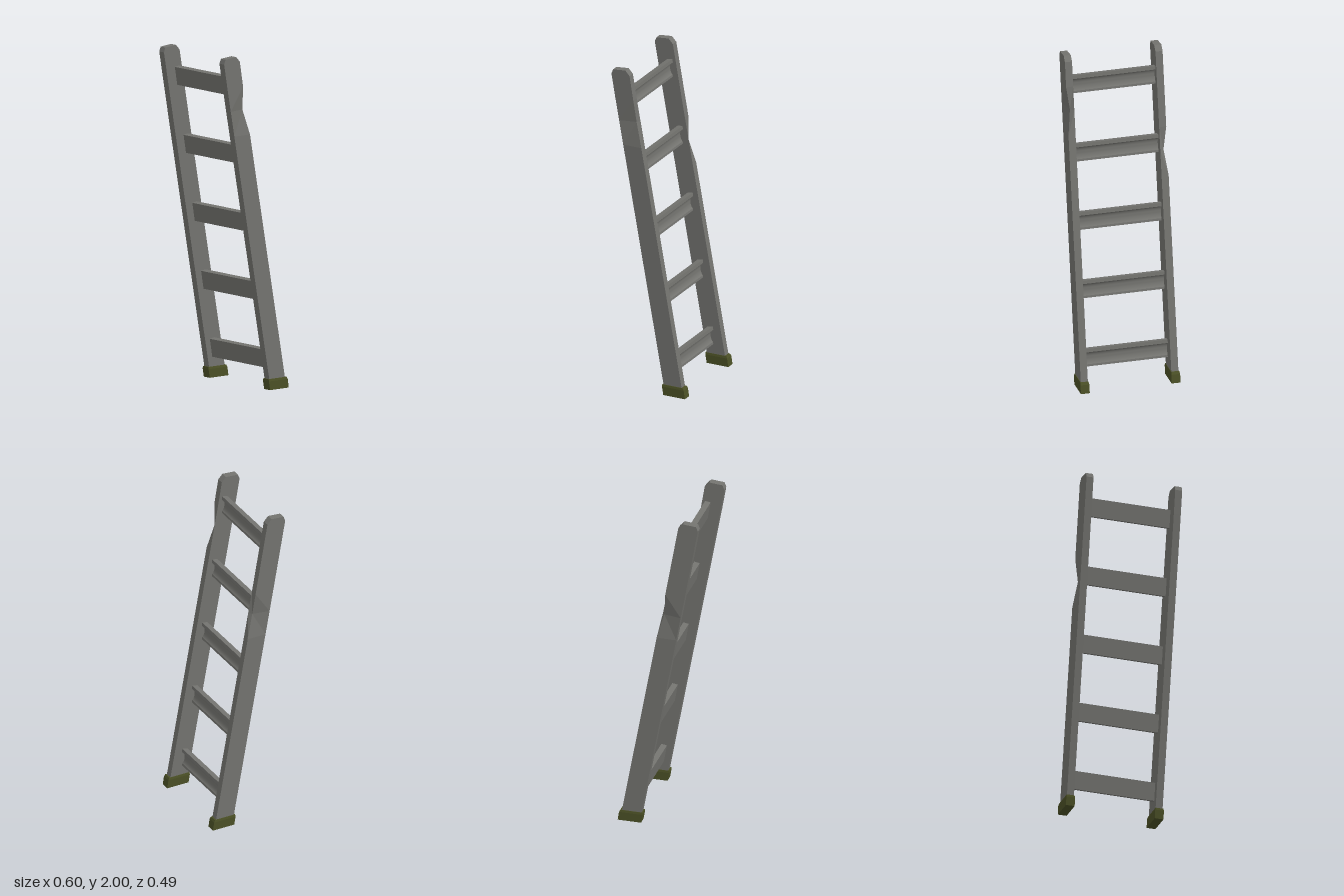
import * as THREE from 'three';
import { toCreasedNormals } from 'three/addons/utils/BufferGeometryUtils.js';

// Closed solid through four-cornered rings; corners run outer front, inner front, inner back, outer back
function loft(rings, side) {
  const pos = [];
  const tri = (a, b, c) => {
    for (const p of side > 0 ? [a, b, c] : [a, c, b]) pos.push(p[0] * side, p[1], p[2]);
  };
  for (let r = 0; r < rings.length - 1; r++) {
    const lo = rings[r], hi = rings[r + 1];
    for (let i = 0; i < 4; i++) {
      const j = (i + 1) % 4;
      tri(lo[j], lo[i], hi[i]);
      tri(lo[j], hi[i], hi[j]);
    }
  }
  const b = rings[0], t = rings[rings.length - 1];
  tri(b[0], b[1], b[2]);
  tri(b[0], b[2], b[3]);
  tri(t[3], t[2], t[1]);
  tri(t[3], t[1], t[0]);
  const geo = new THREE.BufferGeometry();
  geo.setAttribute('position', new THREE.Float32BufferAttribute(pos, 3));
  geo.computeVertexNormals();
  return geo;
}

const ring = (xi, xo, zf, yf, zb, yb) => [[xo, yf, zf], [xi, yf, zf], [xi, yb, zb], [xo, yb, zb]];

const SLOPE = 0.181;
const frontZ = (y) => -0.104 + SLOPE * (y - 0.04);
const backZ = (y) => -0.223 + SLOPE * (y - 0.04);

// Leaning rail with a rounded top and one dent in its outer back edge
function railGeometry(side, dentY) {
  const rows = [0.04, dentY - 0.15, dentY, dentY + 0.14].map((y, i) => {
    const r = ring(0.253, 0.296, frontZ(y), y, backZ(y), y);
    if (i === 2) {
      r[3][0] -= 0.02;
      r[3][2] += 0.014;
    }
    return r;
  });
  rows.push(ring(0.253, 0.296, 0.243, 1.965, 0.124, 1.97));
  rows.push(ring(0.253, 0.296, 0.232, 1.993, 0.152, 2.0));
  return loft(rows, side);
}

// Flat-fronted rung with a bead above and a lip below a hollow back
function rungGeometry() {
  const s = new THREE.Shape();
  s.moveTo(0, -0.055);
  s.lineTo(0.018, -0.055);
  s.lineTo(0.018, -0.042);
  s.bezierCurveTo(0.005, -0.03, 0.004, 0.018, 0.022, 0.03);
  s.lineTo(0.033, 0.034);
  s.lineTo(0.034, 0.055);
  s.lineTo(0, 0.055);
  s.closePath();
  const geo = new THREE.ExtrudeGeometry(s, { depth: 0.51, bevelEnabled: false, curveSegments: 8 });
  geo.translate(0, 0, -0.255);
  geo.rotateY(Math.PI / 2);
  return toCreasedNormals(geo, 0.6);
}

export function createModel() {
  const ladder = new THREE.Group();
  ladder.name = 'ladder';
  const metal = new THREE.MeshStandardMaterial({ color: 0x73736f });
  metal.name = 'grey metal';
  metal.flatShading = false;
  const rubber = new THREE.MeshStandardMaterial({ color: 0x4b5026 });
  rubber.name = 'olive rubber';

  const add = (geo, mat, name) => {
    const m = new THREE.Mesh(geo, mat);
    m.name = name;
    ladder.add(m);
    return m;
  };

  // Rails and their feet
  for (const side of [1, -1]) {
    const label = side > 0 ? 'left' : 'right';
    add(railGeometry(side, side > 0 ? 1.68 : 1.38), metal, label + 'Rail');
    const foot = [
      ring(0.248, 0.302, -0.101, 0, -0.243, 0),
      ring(0.248, 0.302, -0.092, 0.052, -0.235, 0.052),
      ring(0.251, 0.299, -0.093, 0.065, -0.228, 0.065),
    ];
    add(loft(foot, side), rubber, label + 'Foot');
  }

  // Rungs, tilted with the rails
  const rung = rungGeometry();
  for (let i = 0; i < 5; i++) {
    const m = add(rung, metal, 'rung' + (i + 1));
    m.position.set(0, 0.176 + 0.41 * i, -0.115 + 0.0665 * i);
    m.rotation.x = 0.17;
  }
  return ladder;
}
